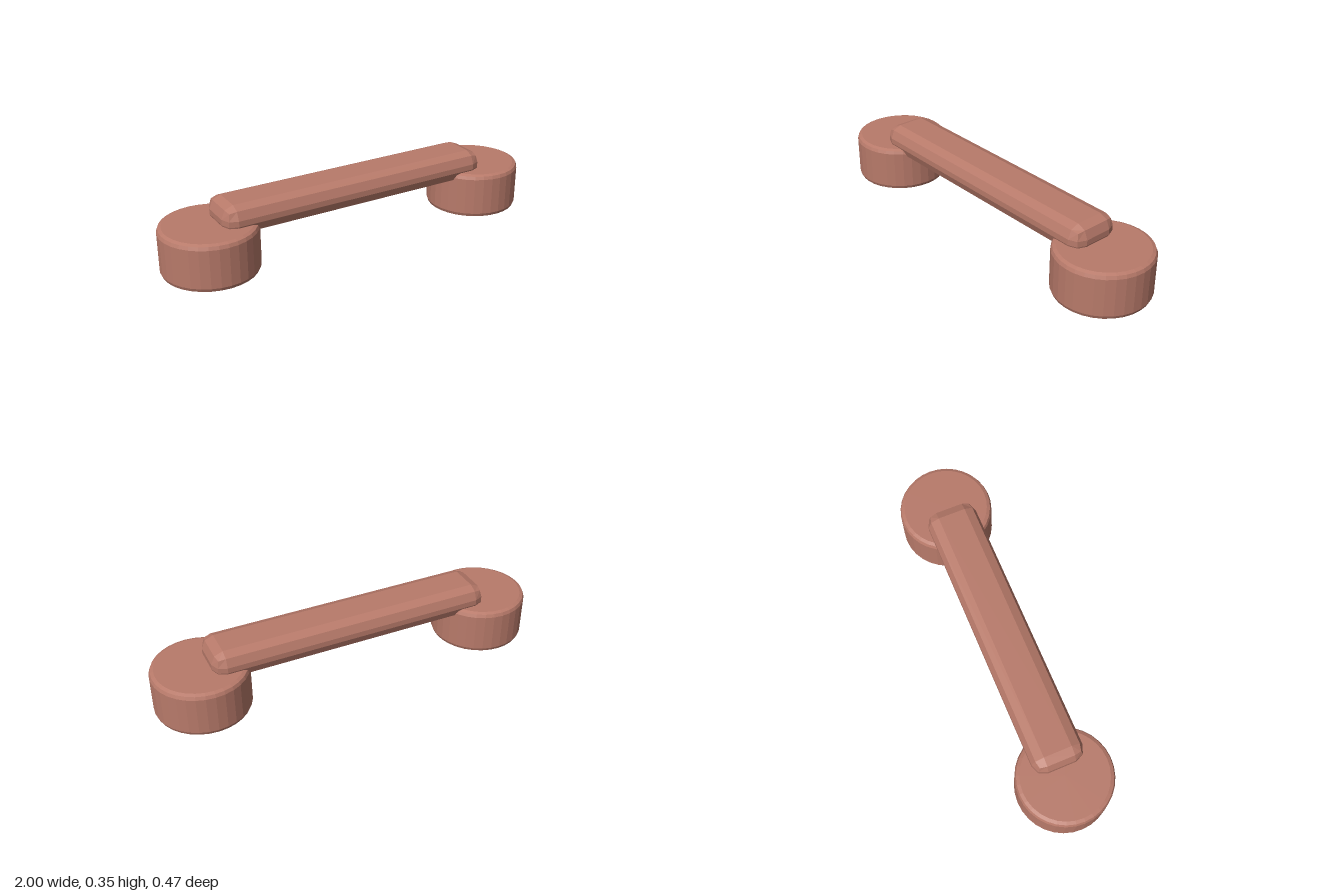
import * as THREE from 'three';
import { RoundedBoxGeometry } from 'three/addons/geometries/RoundedBoxGeometry.js';

export function createModel() {
  const group = new THREE.Group();
  const body = new THREE.MeshStandardMaterial({ color: 0xb87a6a, flatShading: true });
  const dark = new THREE.MeshStandardMaterial({ color: 0x2c2824, flatShading: true });
  const tan = new THREE.MeshStandardMaterial({ color: 0xb5a88c, flatShading: true });

  const add = (parent, name, geometry, material, x, y, z) => {
    const mesh = new THREE.Mesh(geometry, material);
    mesh.name = name;
    mesh.position.set(x, y, z);
    parent.add(mesh);
  };

  // Long grip with faceted, bevelled edges
  add(group, 'handle', new RoundedBoxGeometry(1.45, 0.148, 0.26, 1, 0.06), body, 0, 0.274, 0);

  // Round cup profile with a two-step bevel at top and bottom
  const R = 0.237, y0 = 0.016, y1 = 0.253, b = 0.023, k = b * (1 - Math.SQRT1_2);
  const profile = [
    [0, y0], [R - b, y0], [R - k, y0 + k], [R, y0 + b],
    [R, y1 - b], [R - k, y1 - k], [R - b, y1], [0, y1],
  ].map(([r, y]) => new THREE.Vector2(r, y));
  const cupGeometry = new THREE.LatheGeometry(profile, 32);
  const plateGeometry = new THREE.CylinderGeometry(0.176, 0.176, 0.018, 32);
  const studGeometry = new THREE.CylinderGeometry(0.016, 0.016, 0.012, 12);

  for (const side of [-1, 1]) {
    const end = new THREE.Group();
    end.name = side > 0 ? 'leftEnd' : 'rightEnd';
    end.position.x = side * 0.763;
    add(end, 'cup', cupGeometry, body, 0, 0, 0);
    // Dark plate underneath with a ring of five studs
    add(end, 'facePlate', plateGeometry, dark, 0, 0.016, 0);
    for (let i = 0; i < 5; i++) {
      const a = (i / 5) * Math.PI * 2;
      add(end, 'stud', studGeometry, tan, 0.084 * Math.cos(a), 0.006, 0.084 * Math.sin(a));
    }
    group.add(end);
  }
  return group;
}
